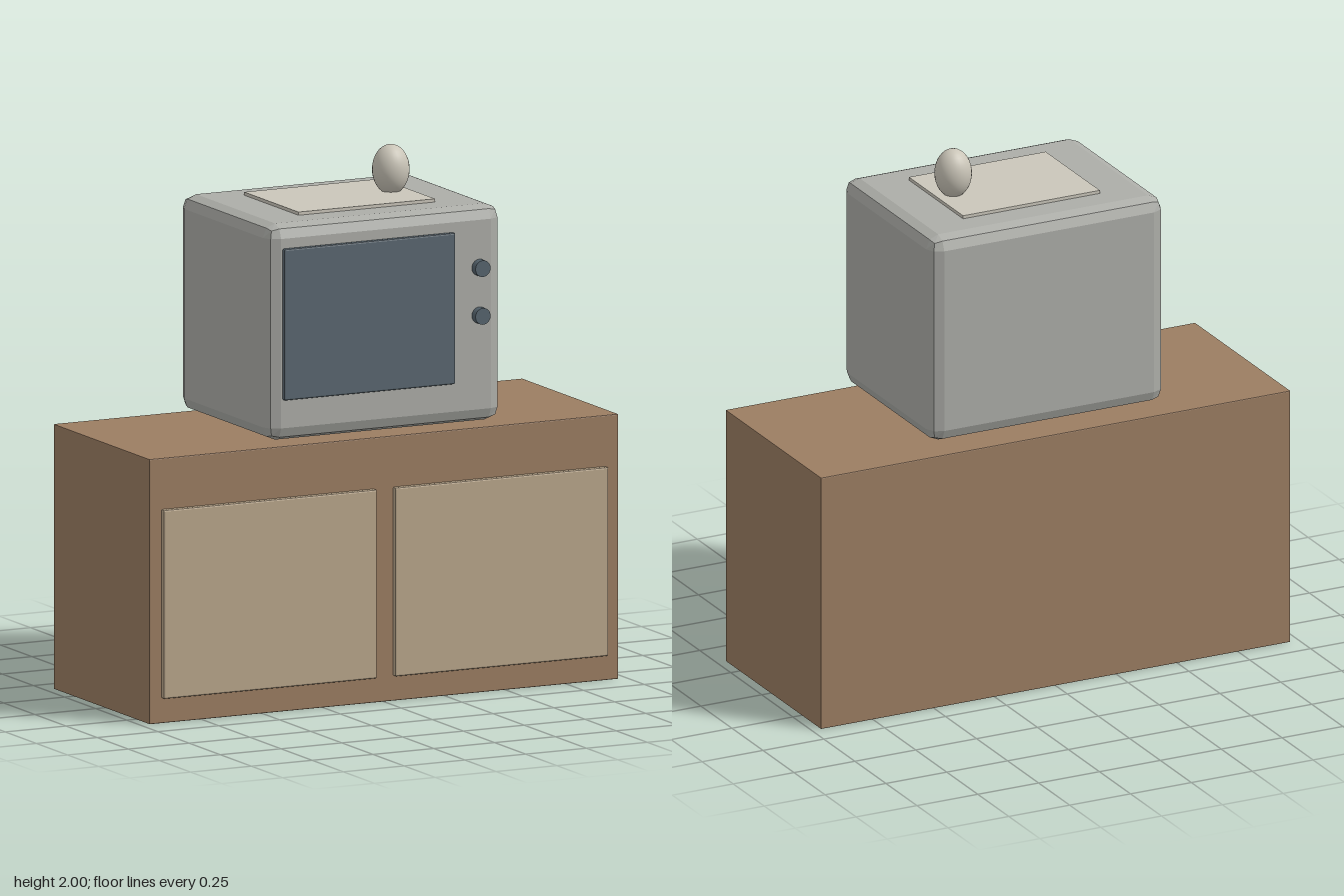
import * as THREE from 'three';

const mat = (name, color, flatShading = false) => {
  const m = new THREE.MeshStandardMaterial({ color, flatShading });
  m.name = name;
  return m;
};

// Box given by its min and max corners, with every edge rounded in two facets
function softBox(min, max, r) {
  const g = new THREE.BoxGeometry(1, 1, 1, 3, 3, 3);
  const lo = new THREE.Vector3(...min), hi = new THREE.Vector3(...max);
  const centre = lo.clone().add(hi).multiplyScalar(0.5);
  const inner = hi.clone().sub(lo).multiplyScalar(0.5).subScalar(r);
  const p = g.attributes.position;
  const v = new THREE.Vector3();
  for (let i = 0; i < p.count; i++) {
    v.fromBufferAttribute(p, i);
    const side = [Math.sign(v.x), Math.sign(v.y), Math.sign(v.z)];
    const dir = new THREE.Vector3(...v.toArray().map(c => (Math.abs(c) > 0.4 ? Math.sign(c) : 0)));
    dir.normalize().multiplyScalar(r);
    v.set(...side).multiply(inner).add(dir).add(centre);
    p.setXYZ(i, v.x, v.y, v.z);
  }
  g.computeVertexNormals();
  return g;
}

export function createModel() {
  const group = new THREE.Group();
  const wood = mat('brown wood', 0x9b7d62, true);
  const paleWood = mat('pale wood', 0xb9a68b, true);
  const grey = mat('grey casing', 0xacada8, true);
  const darkGlass = mat('dark glass', 0x5a6770, true);
  const darkKnob = mat('dark knob', 0x56646e);
  const cream = mat('cream cloth', 0xcac6ba, true);
  const ivory = mat('ivory', 0xcac5b8);

  const add = (name, geometry, material, x = 0, y = 0, z = 0) => {
    const mesh = new THREE.Mesh(geometry, material);
    mesh.name = name;
    mesh.position.set(x, y, z);
    group.add(mesh);
    return mesh;
  };

  // Low cabinet with two front panels
  add('cabinet', softBox([-0.965, 0, -0.408], [0.965, 0.988, 0.362], 0.004), wood);
  add('rightDoor', softBox([-0.915, 0.093, 0.35], [-0.037, 0.797, 0.381], 0.006), paleWood);
  add('leftDoor', softBox([0.037, 0.093, 0.35], [0.915, 0.797, 0.381], 0.006), paleWood);

  // Casing with screen
  add('casing', softBox([-0.481, 1.009, -0.355], [0.481, 1.815, 0.378], 0.05), grey);
  add('screen', softBox([-0.425, 1.164, 0.365], [0.279, 1.728, 0.393], 0.006), darkGlass);

  // Two control knobs
  for (const [name, y] of [['upperKnob', 1.588], ['lowerKnob', 1.41]]) {
    const g = new THREE.CylinderGeometry(0.031, 0.031, 0.038, 20).rotateX(Math.PI / 2);
    const knob = add(name, g, darkKnob, 0.384, y, 0.389);
    knob.geometry.computeBoundingSphere();
  }

  // Mat on top and the egg-shaped ornament standing on it
  add('topMat', new THREE.BoxGeometry(0.562, 0.012, 0.436), cream, -0.002, 1.821, 0.01);
  const egg = new THREE.SphereGeometry(1, 28, 18).scale(0.069, 0.093, 0.069);
  add('ornament', egg, ivory, 0.208, 1.907, 0.011);

  return group;
}
